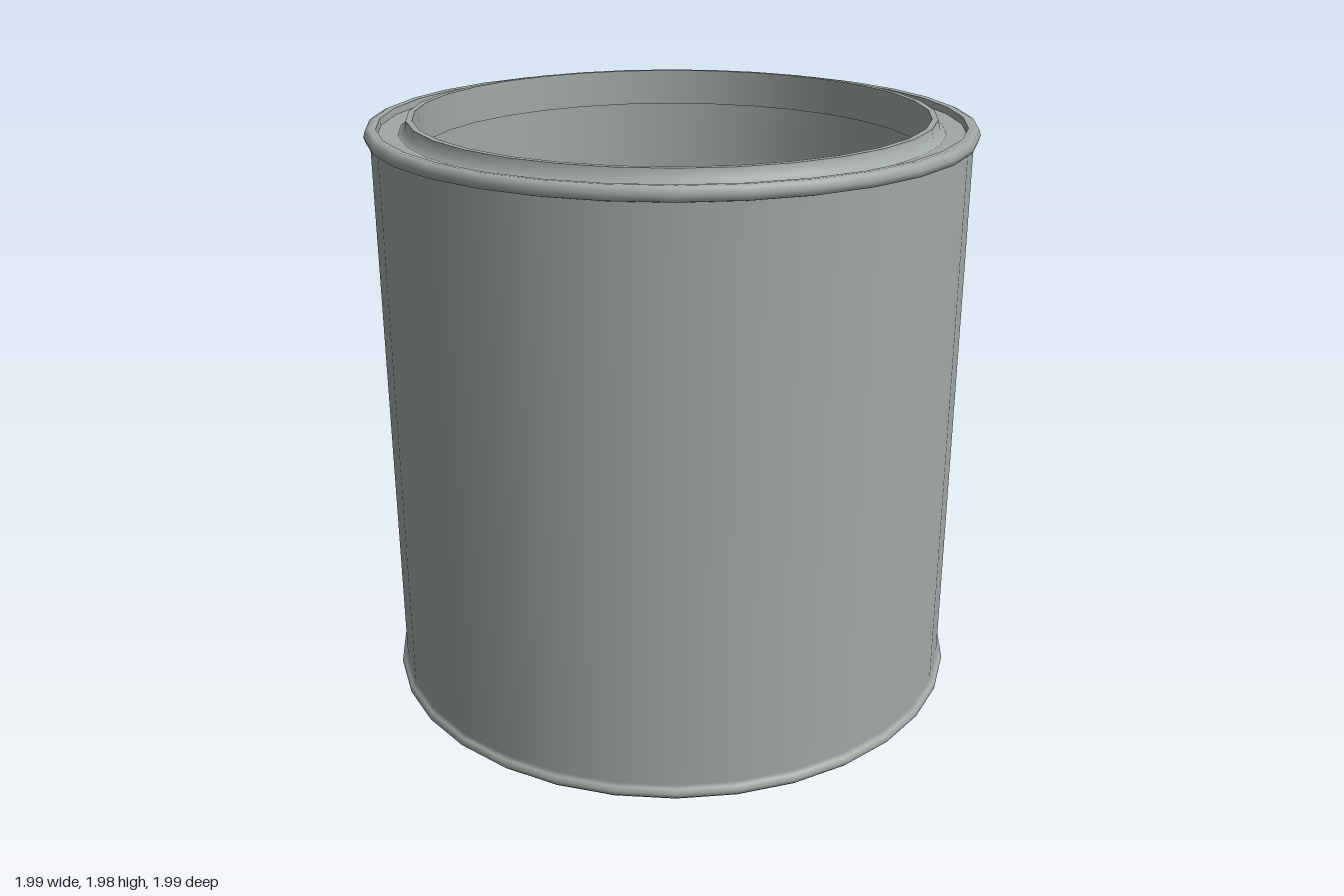
import * as THREE from 'three';

const SIDES = 32;

export function createModel() {
  const group = new THREE.Group();
  const metal = new THREE.MeshStandardMaterial({ color: 0xa1a9a4 });
  const paint = new THREE.MeshStandardMaterial({ color: 0x0a56e0 });

  // Spins a [radius, height] profile; each call is one smooth band with sharp ends.
  function band(name, profile, material = metal) {
    const points = profile.map(([r, y]) => new THREE.Vector2(r, y));
    const mesh = new THREE.Mesh(new THREE.LatheGeometry(points, SIDES), material);
    mesh.name = name;
    group.add(mesh);
  }

  // Base, and outer wall flowing out of the lower seam
  band('base', [[0, 0], [0.985, 0]]);
  band('wall', [
    [0.985, 0], [0.995, 0.01], [0.997, 0.024], [0.99, 0.037], [0.977, 0.044], [0.977, 1.912],
  ]);

  // Rolled upper seam
  band('topBead', [
    [0.977, 1.908], [0.991, 1.912], [0.997, 1.93], [0.991, 1.949], [0.977, 1.955], [0.957, 1.953],
  ]);

  // Lid groove and raised lip
  band('grooveWall', [[0.957, 1.953], [0.955, 1.93]]);
  band('groove', [[0.955, 1.93], [0.89, 1.93]]);
  band('lipOuter', [[0.89, 1.93], [0.868, 1.945], [0.862, 1.976]]);
  band('lipTop', [[0.862, 1.976], [0.842, 1.976]]);
  band('lipInner', [[0.842, 1.976], [0.842, 1.85]]);
  band('lipUnderside', [[0.842, 1.85], [0.965, 1.85]]);

  // Inside wall, set back under the lip and reaching just below the paint
  band('innerWall', [[0.965, 1.85], [0.965, 1.44]]);

  // Paint surface
  band('paint', [[0.965, 1.457], [0, 1.457]], paint);

  return group;
}
